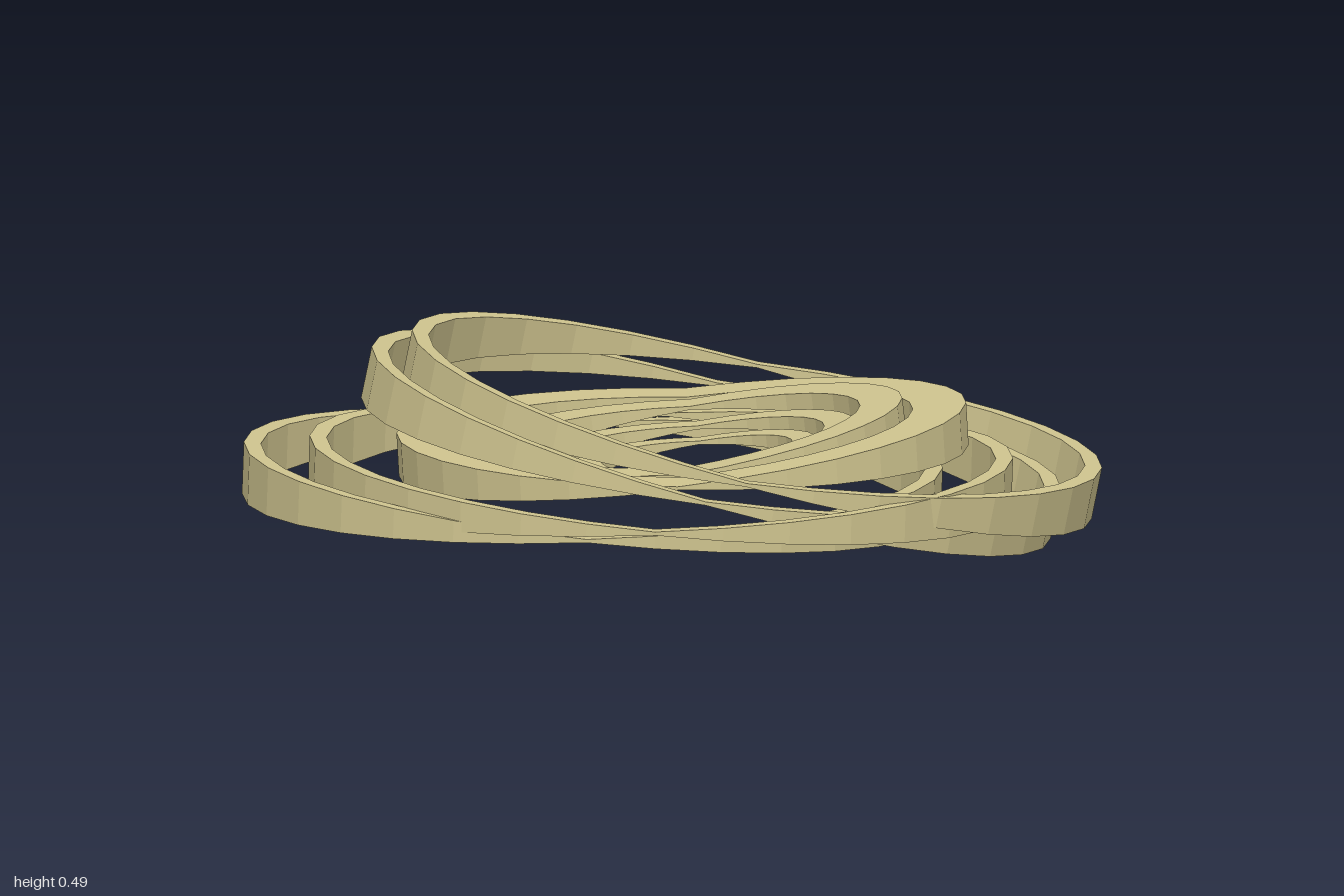
import * as THREE from 'three';

const material = new THREE.MeshStandardMaterial({
  color: 0xcfc48f, flatShading: true, side: THREE.DoubleSide,
});

// Flat-sided ring whose height grows with distance from its z axis:
// tall at the x ends, pinched to almost nothing at the z ends.
function pinchedRing(outer, width) {
  const inner = outer - width;
  const profile = [[inner, -1], [outer, -1], [outer, 1], [inner, 1], [inner, -1]]
    .map(([r, y]) => new THREE.Vector2(r, y));
  const geometry = new THREE.LatheGeometry(profile, 32);
  const p = geometry.attributes.position;
  for (let i = 0; i < p.count; i++) {
    p.setY(i, p.getY(i) * (0.004 + 0.07 * Math.abs(p.getX(i))));
  }
  geometry.computeVertexNormals();
  return geometry;
}

// name, outer radius, band width, centre [x, y, z], slope along x
const RINGS = [
  // nested central rings
  ['innermostRing', 0.28, 0.055, [0.055, 0.195, 0.025], 0.1],
  ['innerRing', 0.375, 0.07, [0.05, 0.215, 0.015], 0.11],
  ['middleRing', 0.51, 0.1, [0.03, 0.24, 0], 0.115],
  ['wideRing', 0.665, 0.125, [0.02, 0.24, 0.005], 0.057],
  // thin outer hoops
  ['leftHoopLow', 0.82, 0.04, [0.085, 0.215, -0.09], -0.205],
  ['leftHoopHigh', 0.82, 0.04, [0.18, 0.258, -0.095], -0.2],
  ['rightHoopLow', 0.815, 0.04, [-0.19, 0.143, 0.015], -0.035],
  ['rightHoopHigh', 0.82, 0.04, [-0.03, 0.175, 0.09], -0.03],
];

export function createModel() {
  const model = new THREE.Group();
  model.name = 'interlacedRings';
  for (const [name, outer, width, centre, slope] of RINGS) {
    const ring = new THREE.Mesh(pinchedRing(outer, width), material);
    ring.name = name;
    ring.position.set(...centre);
    ring.rotation.z = Math.atan(slope);
    model.add(ring);
  }
  return model;
}
